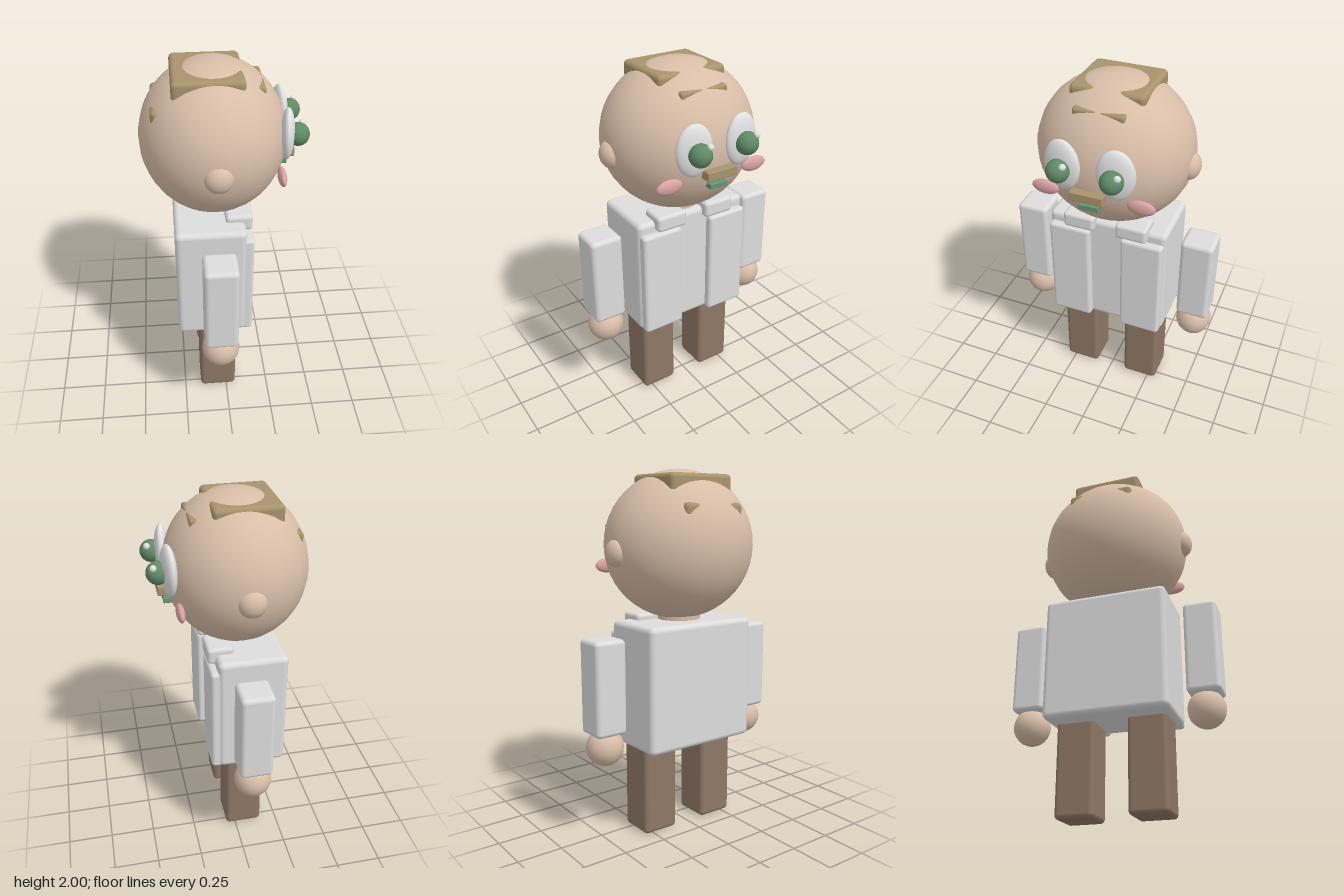
import * as THREE from 'three';
import { RoundedBoxGeometry } from 'three/addons/geometries/RoundedBoxGeometry.js';

const mat = (name, color) => {
  const m = new THREE.MeshStandardMaterial({ color });
  m.name = name;
  return m;
};

export function createModel() {
  const model = new THREE.Group();
  model.name = 'figure';

  const skin = mat('skin', 0xd8bea8);
  const cloth = mat('cloth white', 0xdcdcdc);
  const eyeWhite = mat('eye white', 0xe2e2e2);
  const trousers = mat('trouser brown', 0x8f7766);
  const hair = mat('hair brown', 0xa8946c);
  const green = mat('iris green', 0x5f8a66);
  const teal = mat('mouth green', 0x649674);
  const pink = mat('cheek pink', 0xdba3a3);

  // Rounded box given by its [min, max] on each axis
  const box = (name, material, [x0, x1], [y0, y1], [z0, z1], r = 0.02) => {
    const g = new RoundedBoxGeometry(x1 - x0, y1 - y0, z1 - z0, 3, r);
    const m = new THREE.Mesh(g, material);
    m.name = name;
    m.position.set((x0 + x1) / 2, (y0 + y1) / 2, (z0 + z1) / 2);
    model.add(m);
    return m;
  };

  // Ellipsoid given by its centre and radii
  const ball = (name, material, centre, radii, w = 24, h = 16) => {
    const m = new THREE.Mesh(new THREE.SphereGeometry(1, w, h), material);
    m.name = name;
    m.position.set(...centre);
    m.scale.set(...radii);
    model.add(m);
    return m;
  };

  // Head and neck; the face looks along +x
  ball('head', skin, [-0.05, 1.596, 0], [0.385, 0.404, 0.423], 32, 24);
  const neck = new THREE.Mesh(new THREE.CylinderGeometry(0.12, 0.12, 0.12, 24), skin);
  neck.name = 'neck';
  neck.position.set(-0.05, 1.2, 0);
  model.add(neck);

  // Hair blocks showing through the scalp
  box('hairTop', hair, [-0.26, 0.1], [1.85, 1.97], [-0.2, 0.2], 0.025);
  box('hairFringe', hair, [0.06, 0.205], [1.84, 1.905], [-0.137, 0.137], 0.015);
  box('hairBack', hair, [-0.365, -0.25], [1.5, 1.82], [-0.185, 0.185], 0.025);

  // Nose and mouth
  box('nose', hair, [0.29, 0.372], [1.49, 1.54], [-0.09, 0.09], 0.006);
  box('mouth', teal, [0.28, 0.34], [1.427, 1.456], [-0.052, 0.052], 0.004);

  // Jacket body
  box('torso', cloth, [-0.275, 0.105], [0.5, 1.19], [-0.343, 0.343], 0.03);

  for (const s of [1, -1]) {
    const side = s > 0 ? 'Left' : 'Right';
    const span = (a, b) => (s > 0 ? [a, b] : [-b, -a]);

    // Face
    const eye = ball('eye' + side, eyeWhite, [0.318, 1.653, s * 0.14], [0.038, 0.138, 0.1]);
    eye.rotation.y = -s * 0.14;
    ball('iris' + side, green, [0.372, 1.648, s * 0.14], [0.06, 0.06, 0.06]);
    ball('glint' + side, eyeWhite, [0.397, 1.69, s * 0.14 - 0.039], [0.018, 0.018, 0.018], 12, 8);
    ball('cheek' + side, pink, [0.282, 1.475, s * 0.26], [0.022, 0.041, 0.075]);
    ball('ear' + side, skin, [-0.05, 1.563, s * 0.4], [0.074, 0.074, 0.06]);

    // Jacket front panel and collar
    box('jacketPanel' + side, cloth, [0.06, 0.145], [0.5, 1.13], span(0.093, 0.333));
    box('collar' + side, cloth, [0, 0.145], [1.135, 1.225], span(0.063, 0.242));

    // Limbs
    box('arm' + side, cloth, [-0.14, 0.04], [0.61, 1.125], span(0.405, 0.588), 0.025);
    ball('hand' + side, skin, [-0.05, 0.533, s * 0.495], [0.103, 0.103, 0.103], 16, 12);
    box('leg' + side, trousers, [-0.155, 0.055], [0, 0.53], span(0.091, 0.303), 0.025);
  }

  return model;
}
